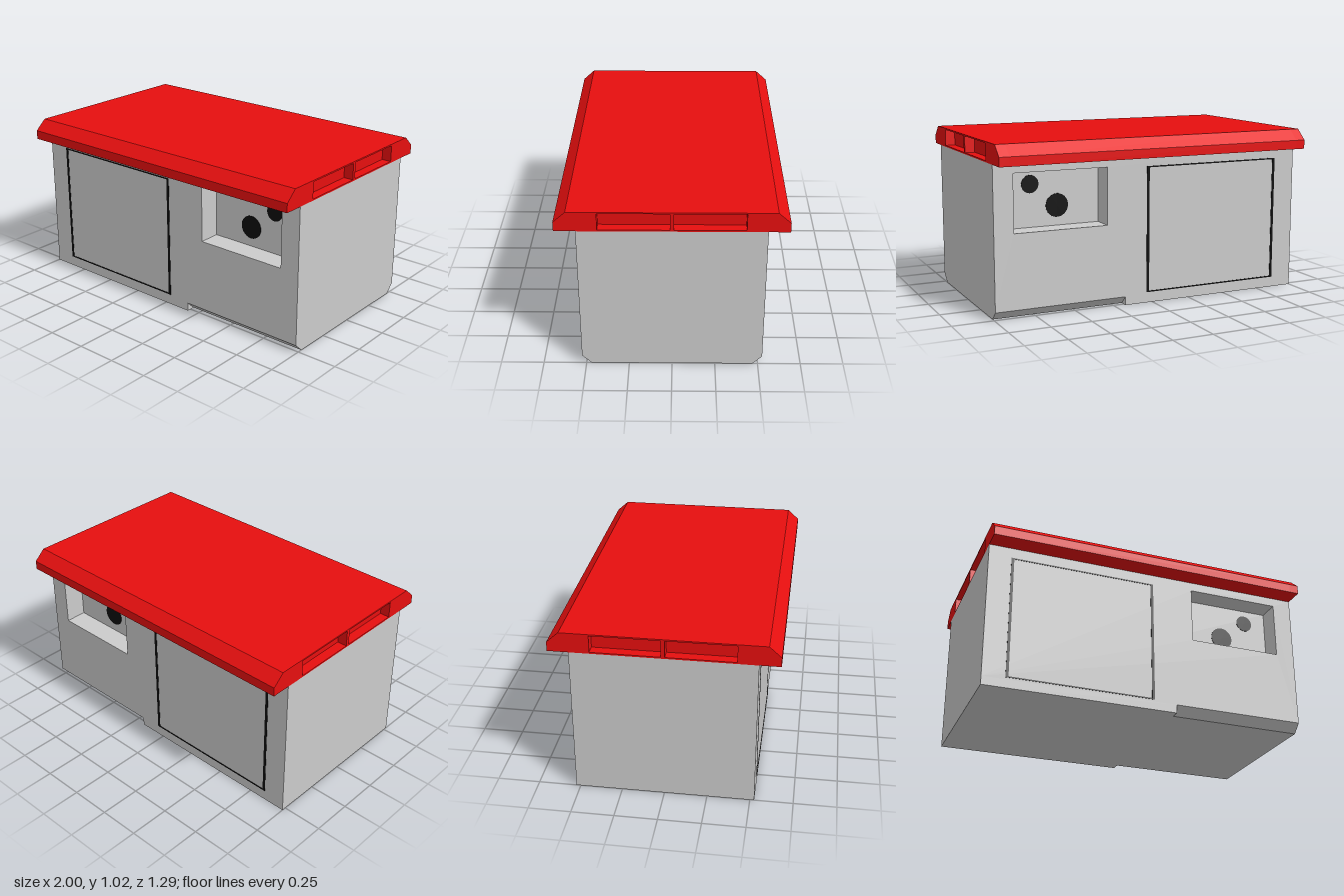
import * as THREE from 'three';

const grey = new THREE.MeshStandardMaterial({ color: 0xcccccc });
const red = new THREE.MeshStandardMaterial({ color: 0xe60f0f });
const black = new THREE.MeshStandardMaterial({ color: 0x0c0c0c });

const HALF_Z = 0.525, NICHE_DEPTH = 0.135, NICHE_Z = HALF_Z - NICHE_DEPTH;
const EAVE = 0.9, PLINTH = 0.052;

const polygon = (points) => new THREE.Shape(points.map(([x, y]) => new THREE.Vector2(x, y)));
const rect = (x0, x1, y0, y1) => polygon([[x0, y0], [x1, y0], [x1, y1], [x0, y1]]);

function add(parent, name, geometry, material) {
  const mesh = new THREE.Mesh(geometry, material);
  mesh.name = name;
  parent.add(mesh);
  return mesh;
}

const extrude = (shape, depth) => new THREE.ExtrudeGeometry(shape, { depth, bevelEnabled: false });

// Extrudes a (z, y) profile along x from x0 to x1
const extrudeX = (shape, x0, x1) => extrude(shape, x1 - x0).rotateY(Math.PI / 2).translate(x0, 0, 0);

// One long wall with niche, dials and door, built facing +z
function createSide(name) {
  const side = new THREE.Group();
  side.name = name;

  const wall = rect(-1, 1, PLINTH, EAVE);
  wall.holes.push(rect(0.3, 0.88, 0.5, 0.845));
  add(side, 'wallWithNiche', extrude(wall, NICHE_DEPTH).translate(0, 0, NICHE_Z), grey);

  for (const [x, y, r] of [[0.565, 0.62, 0.07], [0.732, 0.755, 0.053]]) {
    const disc = add(side, 'nicheDisc', new THREE.CylinderGeometry(r, r, 0.004, 40), black);
    disc.rotation.x = Math.PI / 2;
    disc.position.set(x, y, NICHE_Z + 0.001);
  }

  // Door outline: wider uprights, thin top and bottom lines
  const frame = rect(-0.862, 0.04, 0.064, 0.836);
  frame.holes.push(rect(-0.845, 0.023, 0.072, 0.828));
  add(side, 'doorFrame', extrude(frame, 0.003).translate(0, 0, HALF_Z - 0.001), black);
  return side;
}

export function createModel() {
  const model = new THREE.Group();
  model.name = 'kiosk';

  // Body core between the two long walls
  const core = new THREE.BoxGeometry(2, EAVE - PLINTH, 2 * NICHE_Z);
  add(model, 'bodyCore', core.translate(0, (EAVE + PLINTH) / 2, 0), grey);

  const front = createSide('frontSide');
  const back = createSide('backSide');
  back.scale.z = -1;
  model.add(front, back);

  // Base strip: square on one part, bevelled underneath on the other
  add(model, 'squareBase', extrudeX(rect(-HALF_Z, HALF_Z, 0, PLINTH), -1, 0.18), grey);
  const bevel = polygon([[-0.47, 0], [0.47, 0], [HALF_Z, PLINTH], [-HALF_Z, PLINTH]]);
  add(model, 'bevelledBase', extrudeX(bevel, 0.18, 1), grey);

  // Roof slab with sloped edges and two sunken panels in each end
  const roofProfile = () => polygon([
    [-0.645, EAVE], [0.645, EAVE], [0.645, 0.955], [0.575, 1.018], [-0.575, 1.018], [-0.645, 0.955],
  ]);
  const recess = 0.06;
  add(model, 'roof', extrudeX(roofProfile(), -1 + recess, 1 - recess), red);
  const end = roofProfile();
  end.holes.push(rect(0.011, 0.407, 0.909, 1.009), rect(-0.407, -0.011, 0.909, 1.009));
  add(model, 'roofEndLeft', extrudeX(end, 1 - recess, 1), red);
  add(model, 'roofEndRight', extrudeX(end, -1, -1 + recess), red);

  return model;
}
